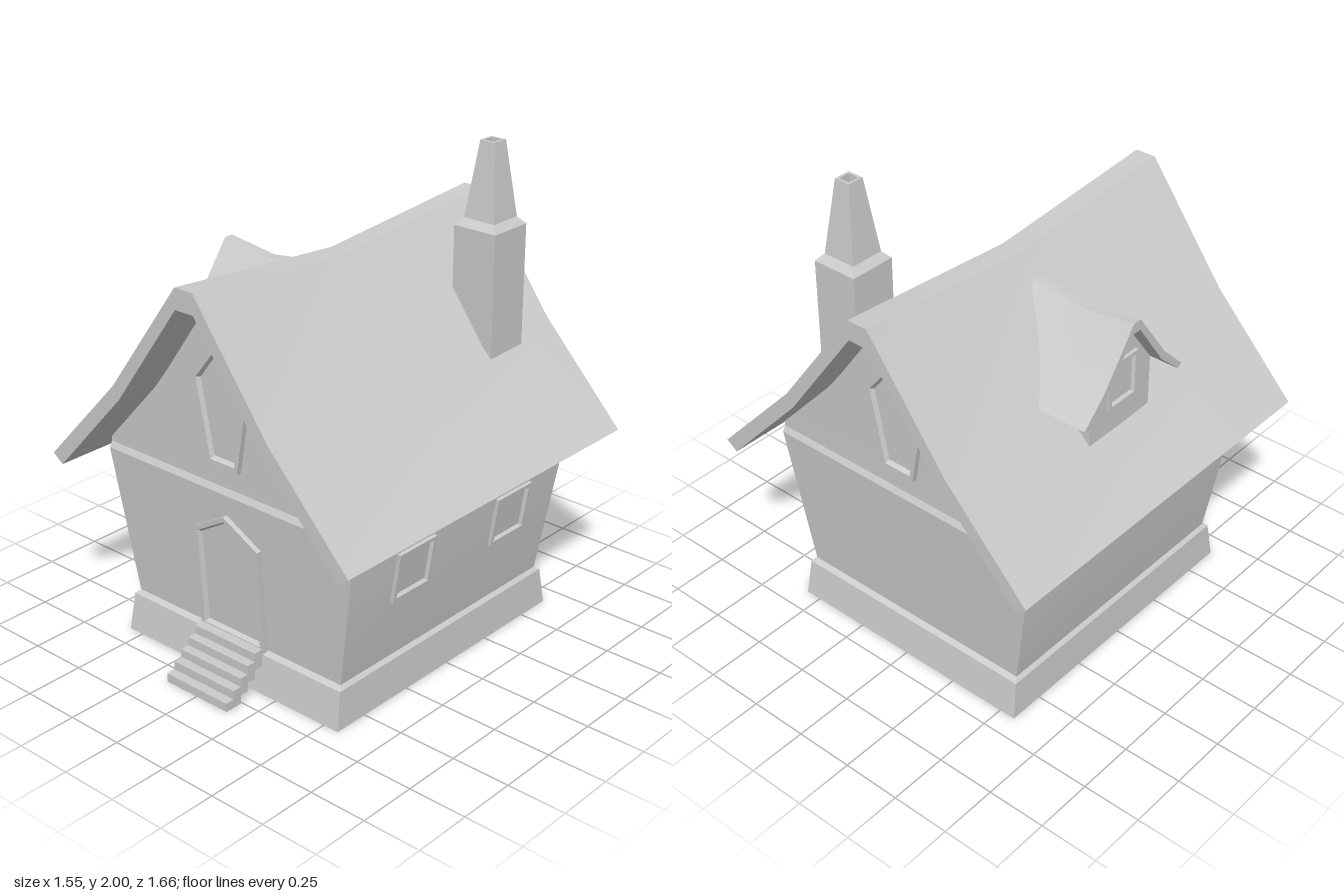
import * as THREE from 'three';
import { toCreasedNormals } from 'three/addons/utils/BufferGeometryUtils.js';

const grey = new THREE.MeshStandardMaterial({ color: 0xcccccc });

function part(name, geometry, parent) {
  const mesh = new THREE.Mesh(toCreasedNormals(geometry, 0.4), grey);
  mesh.name = name;
  parent.add(mesh);
  return mesh;
}

// Skin through matching convex loops, with both ends capped.
function loft(loops) {
  const n = loops[0].length, index = [];
  for (let i = 0; i < loops.length - 1; i++) {
    for (let k = 0; k < n; k++) {
      const a = i * n + k, b = i * n + (k + 1) % n;
      index.push(a, b, b + n, a, b + n, a + n);
    }
  }
  const last = (loops.length - 1) * n;
  for (let k = 1; k < n - 1; k++) {
    index.push(0, k + 1, k, last, last + k, last + k + 1);
  }
  const geometry = new THREE.BufferGeometry();
  geometry.setAttribute('position', new THREE.Float32BufferAttribute(loops.flat(2), 3));
  geometry.setIndex(index);
  return geometry;
}

// Horizontal rectangle: height, half width, half depth.
const rect = ([y, hx, hz]) => [[-hx, y, hz], [hx, y, hz], [hx, y, -hz], [-hx, y, -hz]];

// Mirror one half of an outline across x = 0.
const mirror = half => [...half, ...half.map(([x, y]) => [-x, y]).reverse()];

function extrude(outline, depth, steps = 1) {
  const shape = new THREE.Shape(outline.map(p => new THREE.Vector2(...p)));
  return new THREE.ExtrudeGeometry(shape, { depth, steps, bevelEnabled: false })
    .translate(0, 0, -depth / 2);
}

// Roof whose ridge dips at mid length while the eaves stay level.
function saggingRoof(outline, depth, eaveY, ridgeY, sag) {
  const geometry = extrude(outline, depth, 2);
  const p = geometry.attributes.position;
  for (let i = 0; i < p.count; i++) {
    const lift = Math.max(0, (p.getY(i) - eaveY) / (ridgeY - eaveY));
    const middle = 1 - Math.abs(p.getZ(i)) / (depth / 2);
    p.setY(i, p.getY(i) - sag * lift * middle);
  }
  return geometry;
}

// Raised frame with a splayed reveal and a recessed pane, facing +z.
function frame(name, outline, rim, height, parent) {
  const xs = outline.map(p => p[0]), ys = outline.map(p => p[1]);
  const w = Math.max(...xs) - Math.min(...xs);
  const h = Math.max(...ys) - Math.min(...ys);
  const cy = (Math.max(...ys) + Math.min(...ys)) / 2;
  const loop = (inset, z) => outline.map(([x, y]) =>
    [x * (1 - 2 * inset / w), (y - cy) * (1 - 2 * inset / h), z]);
  const mesh = part(name, loft([
    loop(0, -0.02), loop(0, height), loop(rim, height), loop(rim + 0.01, 0.004),
  ]), parent);
  mesh.position.y = cy;
  mesh.rotation.order = 'YXZ';
  return mesh;
}

export function createModel() {
  const house = new THREE.Group();
  house.name = 'cottage';

  // Plinth, flared walls and gables
  part('walls', loft([
    [0, 0.57, 0.655], [0.16, 0.56, 0.63], [0.175, 0.545, 0.61],
    [0.8, 0.645, 0.65], [0.825, 0.645, 0.637], [0.85, 0.642, 0.637],
    [1.145, 0.375, 0.645], [1.6, 0.045, 0.655],
  ].map(rect)), house);

  // Main roof
  part('roof', saggingRoof(mirror([
    [0.725, 0.765], [0.775, 0.80], [0.4, 1.195], [0.045, 1.675],
  ]).concat([
    [-0.37, 1.145], [-0.045, 1.59], [0.045, 1.59], [0.37, 1.145],
  ]), 1.66, 0.8, 1.675, 0.065), house);

  // Chimney with an open tapered pot
  const chimney = part('chimney', loft([
    [1.1, 0.1], [1.66, 0.1], [1.69, 0.073], [2, 0.035], [2, 0.024], [1.9, 0.024],
  ].map(([y, h]) => rect([y, h, h]))), house);
  chimney.position.set(0.335, 0, -0.507);

  // Dormer on the right-hand slope
  const dormer = new THREE.Group();
  dormer.name = 'dormer';
  dormer.position.x = -0.365;
  dormer.rotation.y = -Math.PI / 2;
  house.add(dormer);
  part('dormerRoof', saggingRoof(mirror([
    [0.275, 1.18], [0.295, 1.197], [0.18, 1.31], [0.02, 1.53],
  ]).concat([
    [-0.165, 1.28], [-0.02, 1.485], [0.02, 1.485], [0.165, 1.28],
  ]), 0.47, 1.2, 1.53, 0.03), dormer);
  part('dormerWalls', extrude(mirror([
    [0.18, 1.0], [0.18, 1.26], [0.02, 1.475],
  ]), 0.37).translate(0, 0, -0.015), dormer);
  frame('dormerWindow', mirror([[0.085, 1.145], [0.085, 1.345]]), 0.016, 0.015, dormer)
    .position.z = 0.17;

  // Front door, tilted with the wall
  const door = frame('door', mirror([[0.17, 0.17], [0.17, 0.62], [0, 0.715]])
    .filter((p, i) => i !== 3), 0.02, 0.022, house);
  door.position.z = 0.627;
  door.rotation.x = 0.063;

  // Kite-shaped windows in both gables
  for (const side of [1, -1]) {
    const gableWindow = frame('gableWindow', mirror([[0.075, 0.915], [0.145, 1.27], [0, 1.435]])
      .filter((p, i) => i !== 3), 0.024, 0.022, house);
    gableWindow.position.z = side * 0.645;
    gableWindow.rotation.set(0.023, side > 0 ? 0 : Math.PI, 0);
  }

  // Two square windows in the left wall
  for (const z of [0.272, -0.328]) {
    const sideWindow = frame('sideWindow', mirror([[0.108, 0.45], [0.108, 0.667]]), 0.015, 0.016, house);
    sideWindow.position.x = 0.606;
    sideWindow.position.z = z;
    sideWindow.rotation.set(0.157, Math.PI / 2, 0);
  }

  // Open stair of overlapping treads
  for (let i = 0; i < 5; i++) {
    part('step', new THREE.BoxGeometry(0.325, 0.037, 0.08), house)
      .position.set(0, 0.0185 + 0.037 * i, 0.795 - 0.04 * i);
  }
  return house;
}
